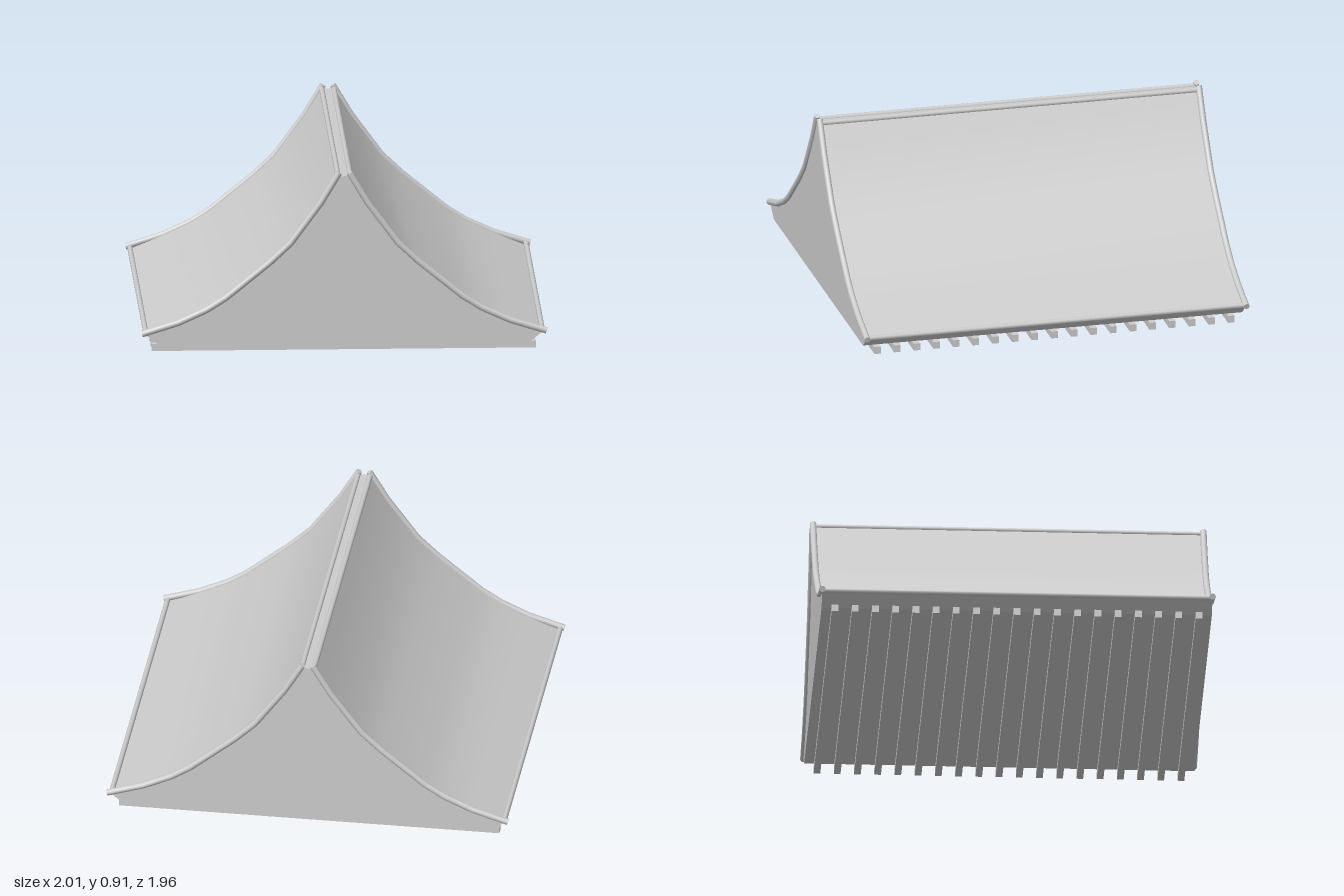
import * as THREE from 'three';
import { toCreasedNormals } from 'three/addons/utils/BufferGeometryUtils.js';

const material = new THREE.MeshStandardMaterial({ color: 0xcccccc });

// One roof slope from eave to ridge, as [x, y]
const SLOPE = [[1, 0.097], [0.82, 0.153], [0.68, 0.217], [0.585, 0.277],
  [0.367, 0.455], [0.265, 0.551], [0.115, 0.755], [0.025, 0.906]];
const END_Z = 0.965;
const TRIM_R = 0.016;

export function createModel() {
  const model = new THREE.Group();
  const add = (name, geometry, x = 0, y = 0, z = 0) => {
    const mesh = new THREE.Mesh(geometry, material);
    mesh.name = name;
    mesh.position.set(x, y, z);
    model.add(mesh);
    return mesh;
  };

  // Solid roof body: concave slopes on both sides, bevelled in under the eaves
  const slope = SLOPE.slice(1, -1);
  const half = [[0.91, 0.035], [0.975, 0.087], ...slope, [0.033, 0.888]];
  const outline = [...half, ...half.map(([x, y]) => [-x, y]).reverse()];
  const shape = new THREE.Shape(outline.map(([x, y]) => new THREE.Vector2(x, y)));
  const body = new THREE.ExtrudeGeometry(shape, { depth: 2 * END_Z, bevelEnabled: false });
  body.translate(0, 0, -END_Z);
  add('roofBody', toCreasedNormals(body, 0.5));

  // Curved trim tube, with one ring of vertices at each profile point
  const addGableTrim = (side, z) => {
    const curve = new THREE.CatmullRomCurve3(
      SLOPE.map(([x, y]) => new THREE.Vector3(side * x, y, z)), false, 'centripetal');
    curve.getPointAt = (t, target) => curve.getPoint(t, target);
    curve.getTangentAt = (t, target) => curve.getTangent(t, target);
    add('gableTrim', new THREE.TubeGeometry(curve, SLOPE.length - 1, TRIM_R, 10));
    for (const t of [0, 1]) {
      const p = curve.getPoint(t);
      const outward = curve.getTangent(t).multiplyScalar(t ? 1 : -1);
      const cap = add('gableTrimCap', new THREE.CircleGeometry(TRIM_R, 10), p.x, p.y, p.z);
      cap.lookAt(p.clone().add(outward));
    }
  };

  // Straight trim tube running along the roof
  const addRail = (name, x, y, radius) => {
    const rail = new THREE.CylinderGeometry(radius, radius, 2 * END_Z, 10);
    rail.rotateX(Math.PI / 2);
    add(name, rail, x, y);
  };

  for (const side of [-1, 1]) {
    addGableTrim(side, END_Z);
    addGableTrim(side, -END_Z);
    addRail('eaveTrim', side * 0.98, 0.098, 0.013);
    addRail('ridgeTrim', side * 0.03, 0.887, 0.013);
  }

  // Row of floor joists
  const joist = new THREE.BoxGeometry(1.9, 0.036, 0.033);
  for (let i = -9; i <= 9; i++) add('joist', joist, 0, 0.018, i * 0.1);

  return model;
}
